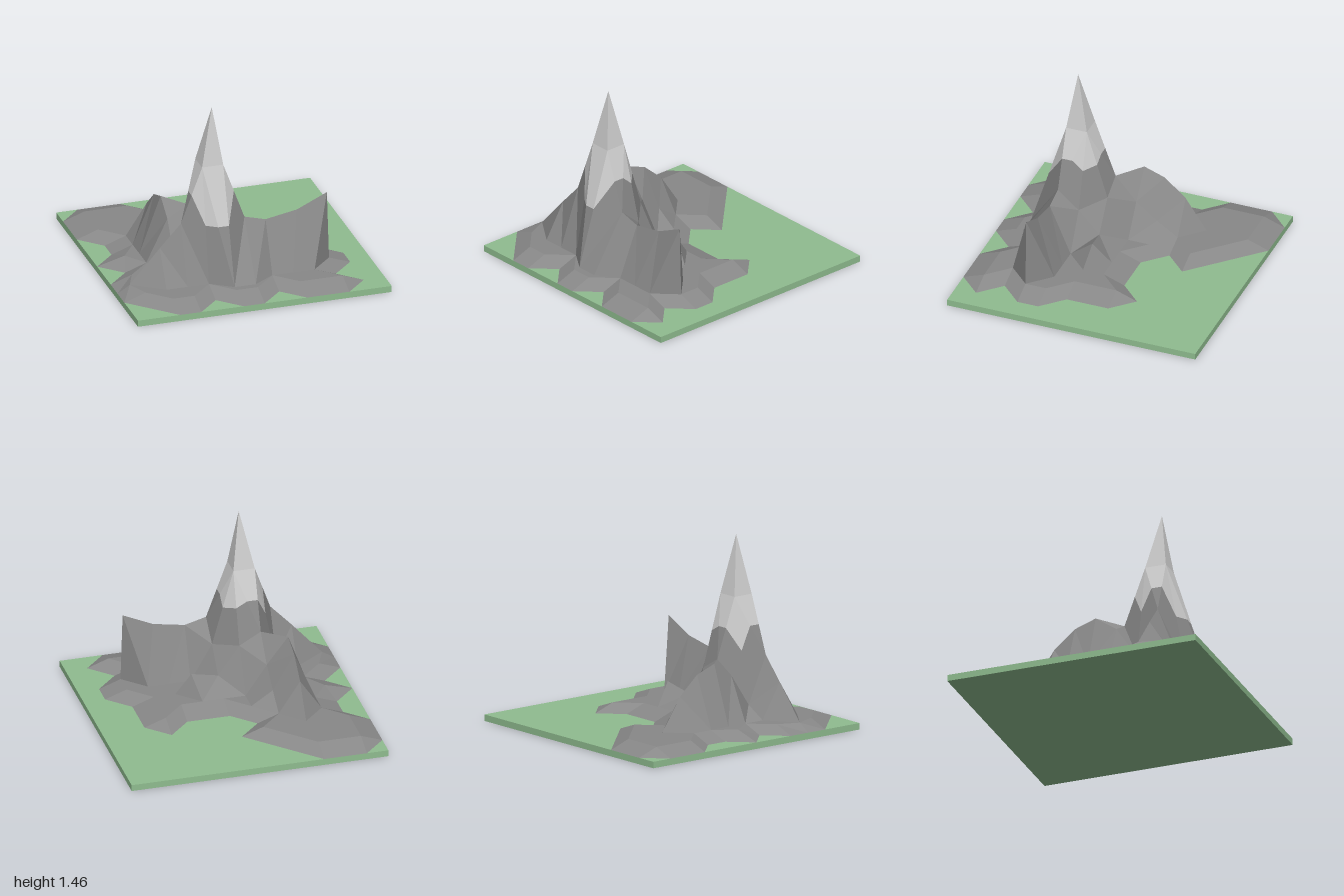
import * as THREE from 'three';

const GROUND = 0.05, FOOT = 0.11, N = 12, STEP = 2 / N;

// Foothill extent: for each grid row from back to front, spans of raised columns
const SPANS = [
  [], [[1, 3]], [[1, 4]], [[1, 5]], [[2, 4]], [[2, 5], [9, 9]], [[1, 9]],
  [[2, 9]], [[1, 10]], [[1, 10]], [[1, 9]], [[2, 3], [5, 6], [8, 10]], [],
];

// Peaks and ridges: column, row, height, optional x and z shift
const PEAKS = [
  // back ridge
  [3, 4, 0.36], [3, 5, 0.505], [3, 6, 0.565], [3, 7, 0.45], [3, 8, 0.2],
  [4, 5, 0.22], [4, 6, 0.35], [4, 7, 0.545], [5, 7, 0.45],
  // front ridge
  [1, 9, FOOT, -0.07], [2, 9, 0.38], [3, 9, 0.56], [6, 9, 0.545],
  [7, 9, 0.5], [8, 9, 0.545, 0.08], [9, 9, 0.655, 0.15],
  // shoulders of the summit
  [4, 8, 1], [5, 8, 1], [4, 9, 1], [5, 9, 1], [6, 8, 0.4],
  // small hill in the hollow, and shifted foot points
  [6, 7, 0.22], [7, 7, 0.28, 0.05, -0.03],
  [1, 6, FOOT, 0.05], [5, 10, FOOT, 0, 0.113], [6, 10, FOOT, 0, 0.113],
];

function terrainGrid() {
  const grid = SPANS.map((spans, j) => Array.from({ length: N + 1 }, (_, i) => {
    const raised = spans.some(([from, to]) => i >= from && i <= to);
    return new THREE.Vector3(-1 + i * STEP, raised ? FOOT : GROUND, -1 + j * STEP);
  }));
  for (const [i, j, h, dx = 0, dz = 0] of PEAKS) {
    const p = grid[j][i];
    p.set(p.x + dx, h, p.z + dz);
  }
  return grid;
}

function facetedMesh(name, points, color) {
  const geometry = new THREE.BufferGeometry().setFromPoints(points);
  geometry.computeVertexNormals();
  const mesh = new THREE.Mesh(geometry, new THREE.MeshStandardMaterial({ color, flatShading: true }));
  mesh.name = name;
  return mesh;
}

export function createModel() {
  const model = new THREE.Group();
  model.name = 'mountainTerrain';

  // Grass slab
  const slab = new THREE.Mesh(
    new THREE.BoxGeometry(2, GROUND, 2),
    new THREE.MeshStandardMaterial({ color: 0x8fbc8f }),
  );
  slab.position.y = GROUND / 2;
  slab.name = 'grassBase';
  model.add(slab);

  const rock = [], snow = [];
  const isSnow = (p) => p.y >= 1;
  const mid = (p, q) => p.clone().lerp(q, 0.5);

  // Snow ends halfway along each edge that leaves the summit
  function triangle(a, b, c) {
    if (Math.max(a.y, b.y, c.y) <= GROUND) return;
    const count = [a, b, c].filter(isSnow).length;
    if (count === 0) return rock.push(a, b, c);
    if (count === 3) return snow.push(a, b, c);
    // turn the corners so the odd one out comes first
    while (isSnow(a) !== (count === 1)) [a, b, c] = [b, c, a];
    const ab = mid(a, b), ac = mid(a, c);
    const [tip, rest] = count === 1 ? [snow, rock] : [rock, snow];
    tip.push(a, ab, ac);
    rest.push(ab, b, c, ab, c, ac);
  }

  // Each cell folds along its more level diagonal; the summit cell rises to a point
  const grid = terrainGrid();
  const summit = new THREE.Vector3(-0.235, 1.455, 0.43);
  for (let j = 0; j < N; j++) {
    for (let i = 0; i < N; i++) {
      const a = grid[j][i], b = grid[j][i + 1];
      const c = grid[j + 1][i], d = grid[j + 1][i + 1];
      if ([a, b, c, d].every(isSnow)) {
        const ring = [a, c, d, b];
        ring.forEach((p, k) => triangle(p, ring[(k + 1) % 4], summit));
      } else if (Math.abs(a.y - d.y) <= Math.abs(b.y - c.y) && a.y + d.y !== b.y + c.y) {
        triangle(a, c, d);
        triangle(a, d, b);
      } else if (isSnow(a) && isSnow(b)) {
        triangle(a, c, d);
        triangle(a, d, b);
      } else {
        triangle(a, c, b);
        triangle(b, c, d);
      }
    }
  }

  model.add(facetedMesh('rockSlopes', rock, 0x888888));
  model.add(facetedMesh('snowCap', snow, 0xcccccc));
  return model;
}
